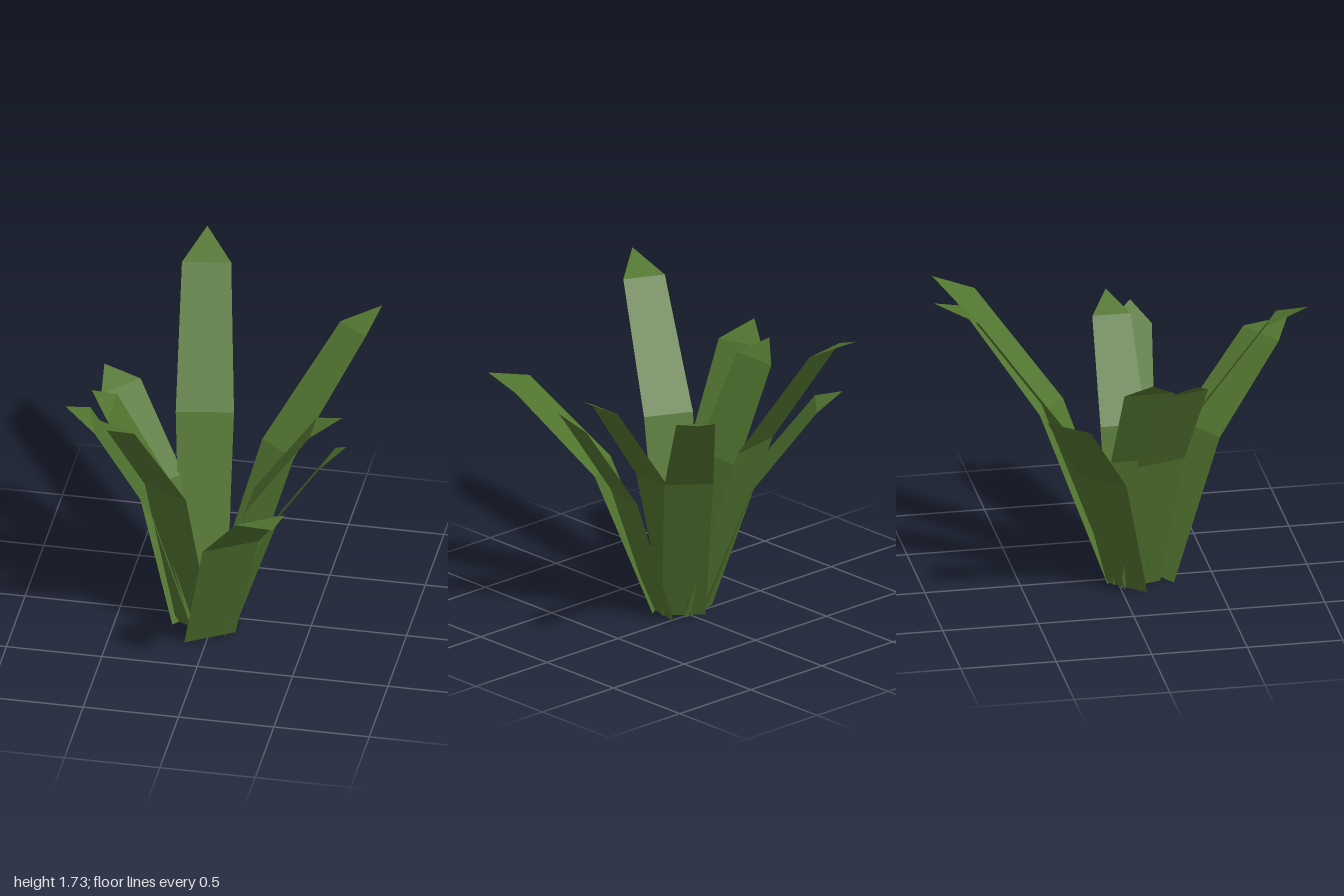
import * as THREE from 'three';

const leafGreen = new THREE.MeshStandardMaterial({ color: 0x527530, side: THREE.DoubleSide, flatShading: true });
leafGreen.name = 'leafGreen';

// Each leaf: base [x, z], tip [x, y, z], bend and shoulder as [fraction of reach, height],
// and half widths at base, bend and shoulder.
const leaves = [
  { name: 'backLeaf', base: [-0.065, 0], tip: [-0.24, 1.725, -1.0], bend: [0.36, 1.0], shoulder: [0.8, 1.63], widths: [0.117, 0.15, 0.127] },
  { name: 'backLeftLeaf', base: [0.025, 0.015], tip: [0.71, 1.46, -0.83], bend: [0.357, 0.87], shoulder: [0.82, 1.395], widths: [0.113, 0.126, 0.1] },
  { name: 'leftUpperLeaf', base: [0.015, 0.075], tip: [0.68, 1.33, 0.075], bend: [0.263, 0.77], shoulder: [0.767, 1.25], widths: [0.105, 0.12, 0.1] },
  { name: 'leftLowerLeaf', base: [0.1, 0.095], tip: [0.725, 1.24, 0.21], bend: [0.37, 0.7], shoulder: [0.84, 1.15], widths: [0.108, 0.125, 0.112] },
  { name: 'frontLeftLeaf', base: [0.01, 0.21], tip: [0.49, 1.185, 0.99], bend: [0.333, 0.73], shoulder: [0.8, 1.14], widths: [0.14, 0.155, 0.135] },
  { name: 'frontRightLeaf', base: [-0.085, 0.135], tip: [-0.46, 1.645, 0.92], bend: [0.29, 0.95], shoulder: [0.77, 1.555], widths: [0.118, 0.132, 0.112] },
  { name: 'rightLowerLeaf', base: [-0.1, 0.11], tip: [-0.73, 1.36, 0.29], bend: [0.35, 0.77], shoulder: [0.79, 1.27], widths: [0.113, 0.138, 0.13] },
  { name: 'rightUpperLeaf', base: [-0.08, 0.08], tip: [-0.635, 1.34, 0.075], bend: [0.342, 0.77], shoulder: [0.81, 1.25], widths: [0.11, 0.155, 0.13] },
  { name: 'backRightLeaf', base: [-0.125, 0.035], tip: [-0.67, 1.18, -0.44], bend: [0.347, 0.69], shoulder: [0.81, 1.11], widths: [0.12, 0.145, 0.128] },
];

// A flat folded blade: two segments and a pointed end
function makeLeaf({ name, base, tip, bend, shoulder, widths }) {
  const dx = tip[0] - base[0], dz = tip[2] - base[1];
  const reach = Math.hypot(dx, dz);
  const sideX = dz / reach, sideZ = -dx / reach;
  const points = [];
  [[0, 0], bend, shoulder].forEach(([t, y], i) => {
    for (const s of [-1, 1]) {
      points.push(base[0] + dx * t + s * sideX * widths[i], y, base[1] + dz * t + s * sideZ * widths[i]);
    }
  });
  points.push(...tip);
  const geometry = new THREE.BufferGeometry();
  geometry.setAttribute('position', new THREE.Float32BufferAttribute(points, 3));
  geometry.setIndex([0, 1, 3, 0, 3, 2, 2, 3, 5, 2, 5, 4, 4, 5, 6]);
  const flat = geometry.toNonIndexed();
  flat.computeVertexNormals();
  const mesh = new THREE.Mesh(flat, leafGreen);
  mesh.name = name;
  return mesh;
}

export function createModel() {
  const plant = new THREE.Group();
  plant.name = 'leafyPlant';
  for (const leaf of leaves) plant.add(makeLeaf(leaf));
  return plant;
}
